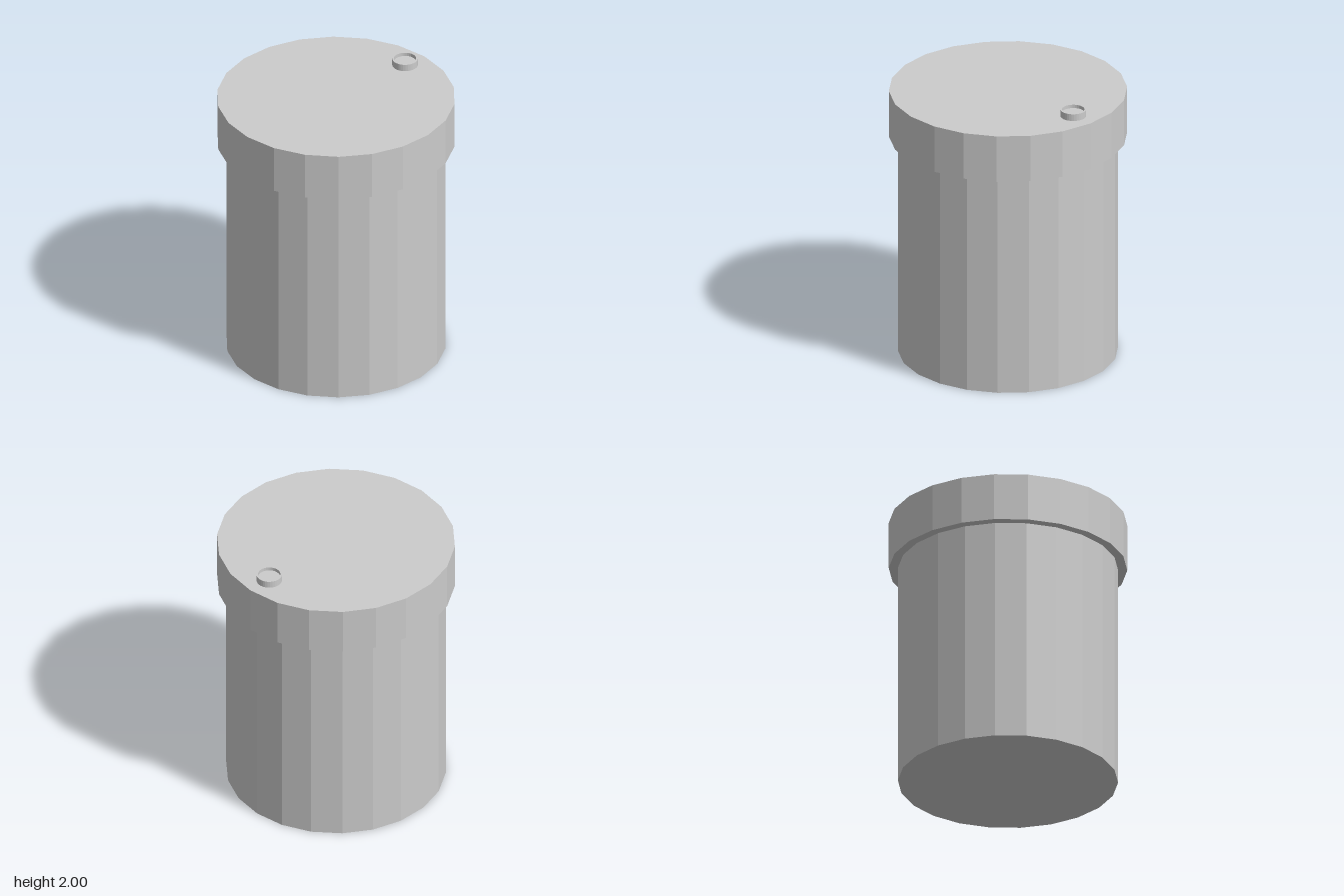
import * as THREE from 'three';

const material = new THREE.MeshStandardMaterial({ color: 0xcccccc, flatShading: true });
const SIDES = 22;

// Faceted closed drum standing between two heights
function drum(name, radius, bottom, top) {
  const mesh = new THREE.Mesh(new THREE.CylinderGeometry(radius, radius, top - bottom, SIDES), material);
  mesh.position.y = (bottom + top) / 2;
  mesh.name = name;
  return mesh;
}

export function createModel() {
  const group = new THREE.Group();
  group.name = 'lidded container';

  // Tall body under a wider overhanging lid
  group.add(drum('body', 0.757, 0, 1.61));
  group.add(drum('lid', 0.82, 1.61, 1.95));

  // Small spout near the back of the lid: thin rim around a shallow recess
  const profile = [
    [0.088, 0], [0.088, 0.05], [0.077, 0.05], [0.077, 0.025], [0, 0.025],
  ].map(([r, y]) => new THREE.Vector2(r, y));
  const spout = new THREE.Mesh(new THREE.LatheGeometry(profile, 32), material);
  spout.position.set(0.177, 1.95, -0.62);
  spout.name = 'spout';
  group.add(spout);

  return group;
}
